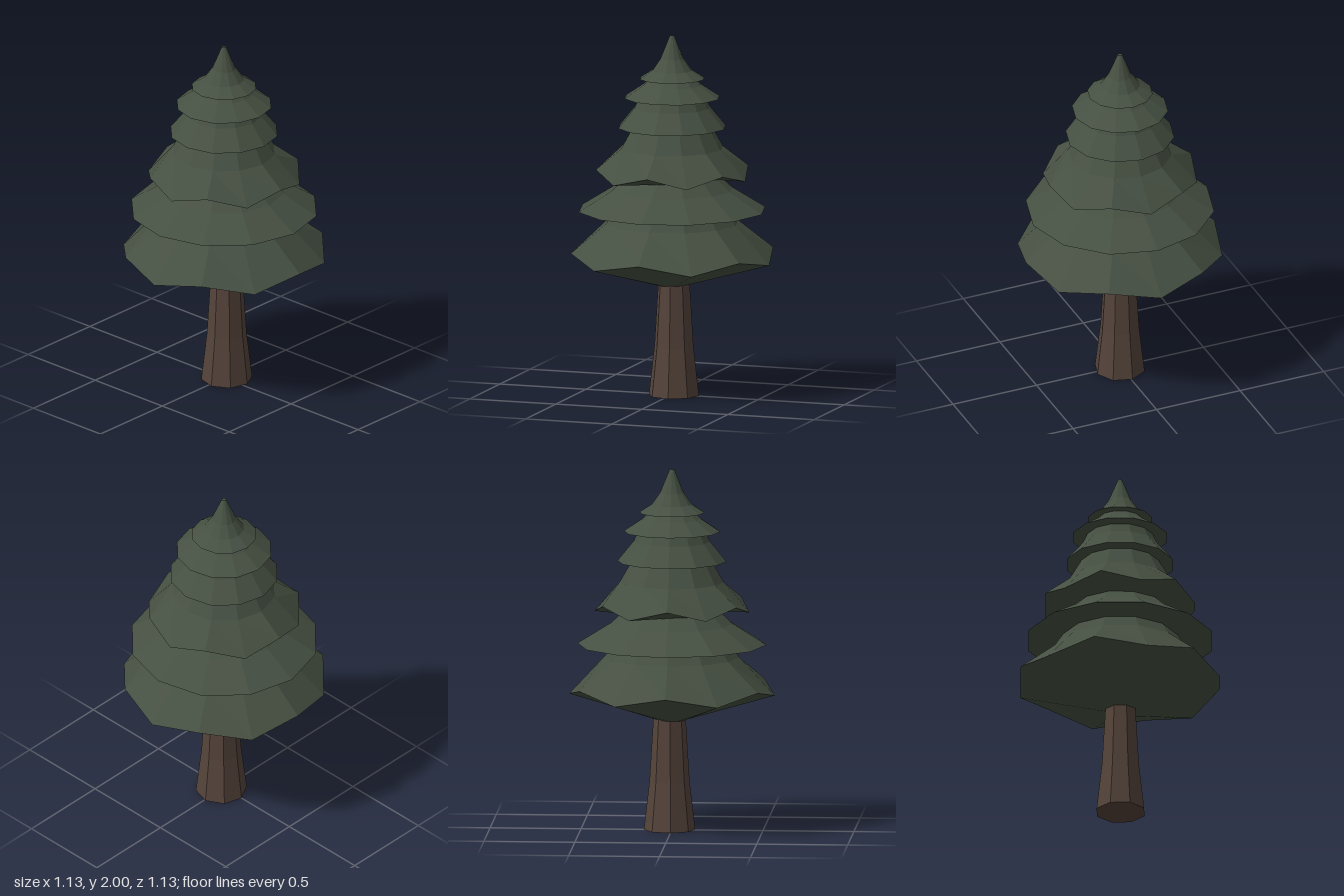
import * as THREE from 'three';

const foliageMat = new THREE.MeshStandardMaterial({ color: 0x465042, flatShading: true });
const barkMat = new THREE.MeshStandardMaterial({ color: 0x54433a, flatShading: true });

// Faceted turned shape; profile runs bottom to top as [radius, y, lift],
// where lift raises every second corner of that ring.
function turned(name, profile, sides, material, start = 0) {
  const points = profile.map(([r, y]) => new THREE.Vector2(r, y));
  const lathe = new THREE.LatheGeometry(points, sides, start);
  const pos = lathe.attributes.position;
  for (let i = 0; i <= sides; i++) {
    profile.forEach(([, y, lift = 0], j) => pos.setY(i * profile.length + j, y + (i % 2) * lift));
  }
  const geometry = lathe.toNonIndexed();
  geometry.computeVertexNormals();
  const mesh = new THREE.Mesh(geometry, material);
  mesh.name = name;
  return mesh;
}

// Branch tiers from lowest to highest: underside, rim, bend, top
const tiers = [
  [[0, 0.61], [0.075, 0.61], [0.565, 0.75, 0.053], [0.37, 0.96], [0.325, 1.03]],
  [[0.325, 1.03], [0.52, 1.03], [0.335, 1.145], [0.26, 1.215]],
  [[0.26, 1.21], [0.425, 1.21, 0.055], [0.285, 1.375], [0.22, 1.49]],
  [[0.22, 1.49], [0.3, 1.49], [0.21, 1.6], [0.185, 1.655]],
  [[0.185, 1.655], [0.265, 1.655], [0.16, 1.725], [0.125, 1.76]],
  [[0.125, 1.76], [0.18, 1.76], [0.11, 1.805], [0.065, 1.87], [0.012, 2], [0, 2]],
];

export function createModel() {
  const tree = new THREE.Group();
  tree.name = 'pineTree';

  // Tapered eight-sided trunk, slightly off centre
  const trunk = turned('trunk', [[0, 0], [0.141, 0], [0.11, 0.27], [0.088, 0.63]],
    8, barkMat, THREE.MathUtils.degToRad(6));
  trunk.position.set(0.007, 0, -0.014);
  tree.add(trunk);

  // Stacked foliage
  const foliage = new THREE.Group();
  foliage.name = 'foliage';
  tiers.forEach((profile, i) => foliage.add(turned(`branchTier${i + 1}`, profile, 12, foliageMat)));
  tree.add(foliage);
  return tree;
}
